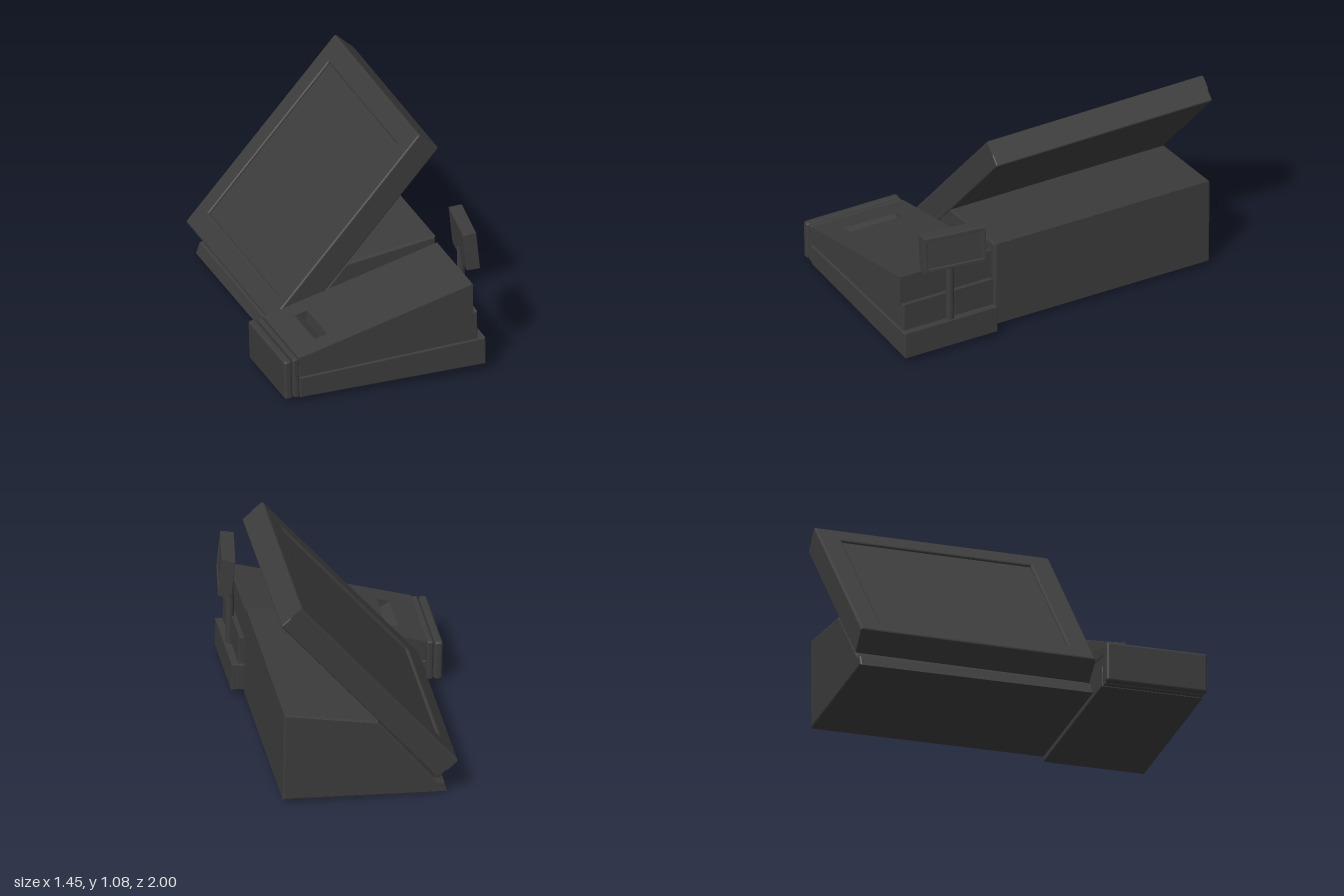
import * as THREE from 'three';
import { RoundedBoxGeometry } from 'three/addons/geometries/RoundedBoxGeometry.js';

const dark = new THREE.MeshStandardMaterial({ color: 0x3c3c3c });

function add(parent, name, geometry, x = 0, y = 0, z = 0) {
  const mesh = new THREE.Mesh(geometry, dark);
  mesh.name = name;
  mesh.position.set(x, y, z);
  parent.add(mesh);
  return mesh;
}

// Side profile in x/y, extruded from z0 to z1 with a small bevel
function prism(parent, name, points, z0, z1, bevel = 0.006) {
  const shape = new THREE.Shape(points.map(([x, y]) => new THREE.Vector2(x, y)));
  const geometry = new THREE.ExtrudeGeometry(shape, {
    depth: z1 - z0 - 2 * bevel, bevelEnabled: bevel > 0,
    bevelSize: bevel, bevelThickness: bevel, bevelOffset: -bevel, bevelSegments: 2,
  });
  return add(parent, name, geometry, 0, 0, z0 + bevel);
}

function rectangle(PathType, w, h) {
  return new PathType([[-1, -1], [1, -1], [1, 1], [-1, 1]]
    .map(([x, y]) => new THREE.Vector2(x * w / 2, y * h / 2)));
}

// Flat display: closed housing plus a raised frame; its face lies at z = 0
function display(name, w, h, depth, margin, sunk, bevel) {
  const group = new THREE.Group();
  group.name = name;
  add(group, name + 'Housing', new RoundedBoxGeometry(w, h, depth - sunk, 3, bevel * 0.7),
    0, 0, -(depth + sunk) / 2);
  const shape = rectangle(THREE.Shape, w, h);
  shape.holes.push(rectangle(THREE.Path, w - 2 * margin, h - 2 * margin));
  const frameDepth = depth * 0.6;
  const frame = new THREE.ExtrudeGeometry(shape, {
    depth: frameDepth - 2 * bevel, bevelSize: bevel, bevelThickness: bevel,
    bevelOffset: -bevel, bevelSegments: 3,
  });
  add(group, name + 'Frame', frame, 0, 0, -frameDepth + bevel);
  return group;
}

export function createModel() {
  const model = new THREE.Group();
  model.name = 'registerTerminal';

  // Whole terminal is turned; base and printer also lean slightly
  const turned = new THREE.Group();
  turned.name = 'terminal';
  turned.rotation.y = 0.314;
  model.add(turned);
  const body = new THREE.Group();
  body.name = 'body';
  body.rotation.set(-0.01, 0, 0.024);
  body.position.y = 0.02;
  turned.add(body);

  // Wedge base carrying the screen
  prism(body, 'base', [
    [-0.425, 0], [0.415, 0], [0.42, 0.478], [-0.06, 0.415], [-0.36, 0.075], [-0.405, 0.055],
  ], -0.9, 0.325, 0.01);

  // Printer: three fanned tiers, each stepping in at the right end
  prism(body, 'printerLowerTier', [[-0.515, 0], [0.476, 0], [0.478, 0.145], [-0.515, 0.11]], 0.34, 0.87);
  prism(body, 'printerMiddleTier', [[-0.515, 0.09], [0.44, 0.1], [0.443, 0.295], [-0.515, 0.185]], 0.35, 0.858);
  const lid = [[-0.515, 0.17], [0.417, 0.285], [0.42, 0.452]];
  const lidEnd = [-0.515, 0.217];
  const notch = [[-0.32, 0.265], [-0.33, 0.212], [-0.387, 0.248]];
  prism(body, 'printerLidBack', [...lid, lidEnd], 0.345, 0.46, 0);
  prism(body, 'printerLidNotched', [...lid, ...notch, lidEnd], 0.46, 0.75, 0);
  prism(body, 'printerLidFront', [...lid, lidEnd], 0.75, 0.866, 0);

  // End plates on the left of the printer, with a gap between them
  add(body, 'gapCore', new THREE.BoxGeometry(0.08, 0.18, 0.49), -0.545, 0.1, 0.605);
  add(body, 'innerPlate', new RoundedBoxGeometry(0.032, 0.215, 0.52, 3, 0.01), -0.532, 0.1075, 0.605);
  add(body, 'endCap', new RoundedBoxGeometry(0.042, 0.212, 0.53, 3, 0.014), -0.575, 0.106, 0.605);

  // Large sloping screen
  const screen = display('screen', 1.21, 1.23, 0.14, 0.12, 0.014, 0.012);
  const slope = Math.atan2(0.91, 0.795);
  const c = Math.cos(slope), s = Math.sin(slope);
  screen.quaternion.setFromRotationMatrix(new THREE.Matrix4().makeBasis(
    new THREE.Vector3(c, s, 0), new THREE.Vector3(0, 0, -1), new THREE.Vector3(-s, c, 0)));
  screen.position.set(-0.0775, 0.635, -0.295);
  turned.add(screen);

  // Customer display on a pole at the right end
  add(model, 'pole', new THREE.CylinderGeometry(0.02, 0.022, 0.4, 16), 0.605, 0.37, 0.43);
  const customer = display('customerDisplay', 0.335, 0.2, 0.07, 0.022, 0.006, 0.004);
  customer.rotation.set(-0.1, 1.749, 0, 'YXZ');
  customer.position.set(0.657, 0.622, 0.413);
  model.add(customer);

  return model;
}
